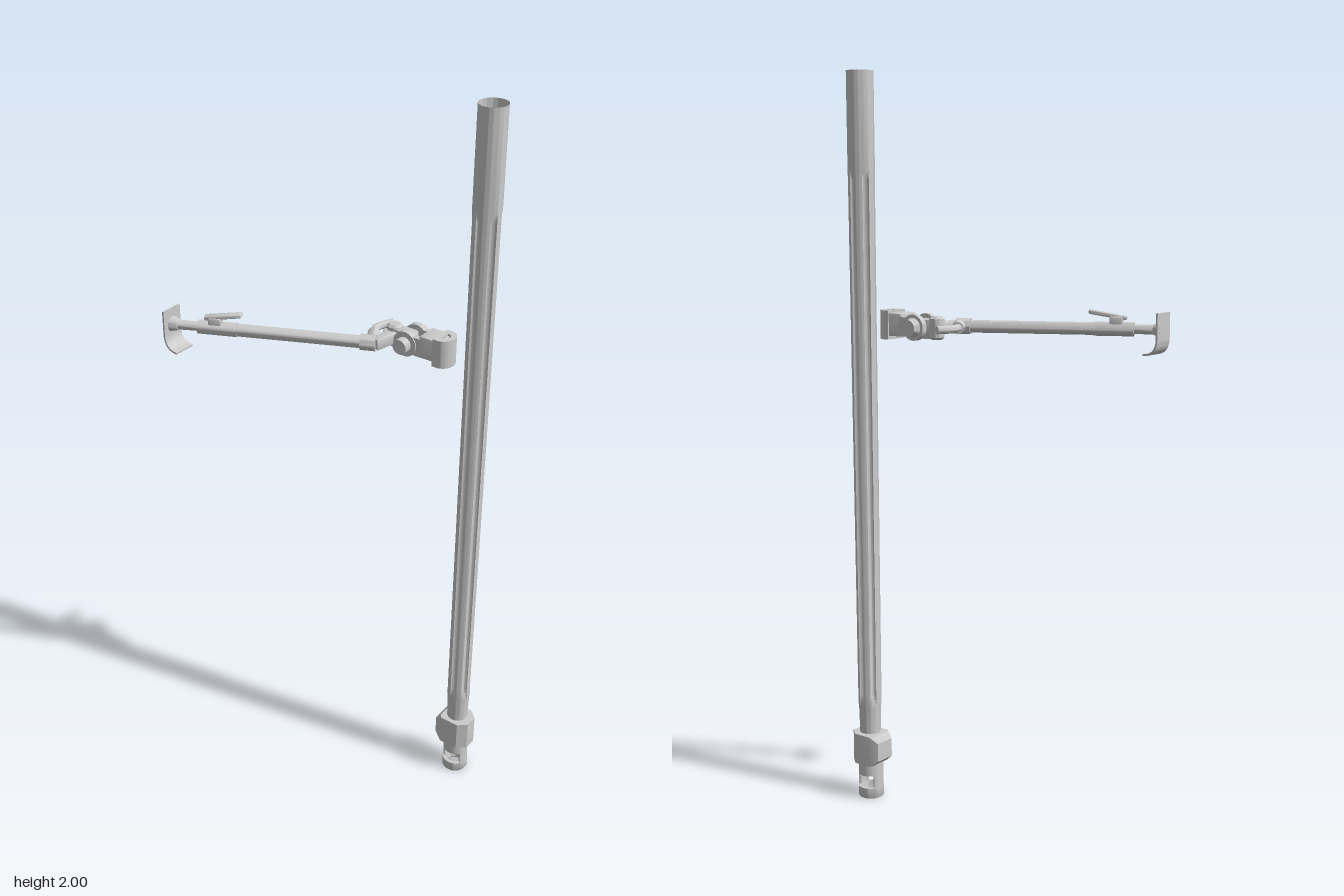
import * as THREE from 'three';
import { toCreasedNormals } from 'three/addons/utils/BufferGeometryUtils.js';
import { RoundedBoxGeometry } from 'three/addons/geometries/RoundedBoxGeometry.js';
import { ConvexGeometry } from 'three/addons/geometries/ConvexGeometry.js';

const V = (x, y, z) => new THREE.Vector3(x, y, z);
const P = (x, y) => new THREE.Vector2(x, y);
const PX = 0.139, PZ = 0.352, Y = 1.343; // pole axis and arm height

export function createModel() {
  const root = new THREE.Group();
  const grey = new THREE.MeshStandardMaterial({ color: 0xcccccc, side: THREE.DoubleSide });

  const add = (name, geo, x = 0, y = 0, z = 0, parent = root) => {
    const m = new THREE.Mesh(toCreasedNormals(geo, 0.6), grey);
    m.name = name;
    m.position.set(x, y, z);
    parent.add(m);
    return m;
  };
  const lathe = (pts, seg = 32) => new THREE.LatheGeometry(pts.map(p => P(...p)), seg);
  // cylinder between two points
  const rod = (name, a, b, ra, rb = ra, seg = 24) => {
    const d = b.clone().sub(a), c = a.clone().add(b).multiplyScalar(0.5);
    const m = add(name, new THREE.CylinderGeometry(rb, ra, d.length(), seg), c.x, c.y, c.z);
    m.quaternion.setFromUnitVectors(V(0, 1, 0), d.normalize());
    return m;
  };
  // shape drawn in plan (x, z), extruded upwards from y0 to y1
  const slab = (name, shape, y0, y1, bevel = 0) => {
    const g = new THREE.ExtrudeGeometry(shape, {
      depth: y1 - y0 - 2 * bevel, bevelEnabled: bevel > 0, bevelSize: bevel,
      bevelOffset: -bevel, bevelThickness: bevel, bevelSegments: 2, curveSegments: 20
    });
    g.rotateX(Math.PI / 2);
    return add(name, g, 0, y1 - bevel, 0);
  };

  // Pole: open thin tube, with six grooves that fade out at both ends
  const tube = lathe([[0.029, 0.19], [0.031, 0.265], [0.0325, 0.275], [0.0325, 0.3],
    [0.0355, 1.72], [0.036, 1.745], [0.036, 2]], 144);
  const pos = tube.attributes.position;
  for (let i = 0; i < pos.count; i++) {
    const x = pos.getX(i), y = pos.getY(i), z = pos.getZ(i);
    if (y < 0.29 || y > 1.73) continue;
    const wave = Math.max(0, Math.cos(6 * Math.atan2(x, z) + Math.PI));
    const k = 1 - 0.24 * Math.sqrt(wave);
    pos.setXYZ(i, x * k, y, z * k);
  }
  add('pole', tube, PX, 0, PZ);
  add('poleFloor', new THREE.CylinderGeometry(0.03, 0.03, 0.004, 32), PX, 0.268, PZ);

  // Chamfered lock block near the foot
  const block = [];
  for (const [y, back, w] of [[0.1, -0.032, 1], [0.118, -0.053, 1], [0.17, -0.053, 1], [0.187, -0.038, 1]])
    for (const s of [-1, 1])
      block.push(V(s * 0.029 * w, y, back), V(s * 0.039, y, Math.max(back, -0.03)),
        V(s * 0.039, y, 0.024), V(s * 0.018, y, 0.048));
  add('lockBlock', new ConvexGeometry(block), PX, 0, PZ);
  add('lockButton', new RoundedBoxGeometry(0.03, 0.07, 0.006, 2, 0.002), PX, 0.143, PZ + 0.045);

  // Hollow foot with a window on either side
  add('footSleeve', lathe([[0.026, 0.066], [0.035, 0.066], [0.035, 0.11], [0.026, 0.11], [0.026, 0.066]]), PX, 0, PZ);
  add('footRing', lathe([[0.022, 0.004], [0.024, 0], [0.034, 0], [0.036, 0.004], [0.036, 0.03],
    [0.026, 0.03], [0.022, 0.004]]), PX, 0, PZ);
  for (const a of [0, Math.PI]) {
    const web = new THREE.Shape();
    web.absarc(0, 0, 0.035, a - 0.6, a + 0.6, false);
    web.absarc(0, 0, 0.028, a + 0.6, a - 0.6, true);
    const m = slab('footWeb', web, 0.028, 0.068);
    m.rotation.y = Math.PI / 2;
    m.position.x = PX;
    m.position.z = PZ;
  }

  // Clamp jaw: body plus a rounded lip with a half-round bore
  const jaw = add('jawBody', new RoundedBoxGeometry(0.062, 0.062, 0.062, 2, 0.004), PX, Y + 0.004, 0.225);
  jaw.scale.y = 0.98;
  const lip = new THREE.Shape();
  lip.moveTo(PX + 0.034, 0.236);
  lip.lineTo(PX + 0.034, 0.25);
  lip.absellipse(PX, 0.25, 0.034, 0.03, 0, Math.PI, false);
  lip.lineTo(PX - 0.034, 0.236);
  const bore = new THREE.Path();
  bore.absarc(PX, 0.251, 0.015, 0, Math.PI, false);
  lip.holes.push(bore);
  slab('jawLip', lip, 1.307, 1.383);

  // Fork lugs, cross pin and knobs
  for (const s of [-1, 1]) {
    const lug = add('forkLug', new THREE.CylinderGeometry(0.034, 0.034, 0.016, 32), PX + s * 0.026, Y, 0.152);
    lug.rotation.z = Math.PI / 2;
    add('forkArm', new THREE.BoxGeometry(0.014, 0.05, 0.05), PX + s * 0.024, Y, 0.177);
  }
  rod('crossPin', V(0.09, Y, 0.152), V(0.185, Y, 0.152), 0.012);
  rod('rightKnob', V(0.082, Y, 0.152), V(0.106, Y, 0.152), 0.02);
  rod('leftKnob', V(0.172, Y, 0.152), V(0.185, Y, 0.152), 0.026, 0.021);
  rod('leftKnobCap', V(0.183, Y, 0.152), V(0.192, Y, 0.152), 0.021);

  // Tongue between the lugs with a swivel at its back end
  const tongue = new THREE.Shape();
  tongue.absarc(PX, 0.152, 0.017, 0, Math.PI, false);
  tongue.absarc(PX, 0.099, 0.017, Math.PI, Math.PI * 2, false);
  slab('tongue', tongue, Y - 0.022, Y + 0.022, 0.004);
  add('swivel', lathe([[0, -0.03], [0.014, -0.03], [0.02, -0.024], [0.02, 0.024], [0.014, 0.03], [0, 0.03]]), PX, Y, 0.099);

  // Curved link from the swivel to the elbow
  const link = new THREE.Shape();
  link.moveTo(0.145, 0.085);
  link.lineTo(0.118, 0.077);
  link.quadraticCurveTo(0.1, 0.092, 0.07, 0.08);
  link.lineTo(0.055, 0.104);
  link.lineTo(0.118, 0.118);
  link.lineTo(0.145, 0.11);
  slab('link', link, Y - 0.015, Y + 0.015, 0.003);

  // Telescopic arm, its axis given by a fraction t from elbow to pad
  const A = V(0.066, Y, 0.092), B = V(-0.16, Y, -0.382);
  const on = t => A.clone().lerp(B, t);
  rod('elbow', on(0), on(0.075), 0.021);
  rod('armTube', on(0.05), on(0.74), 0.0165);
  rod('armSleeve', on(0.69), on(0.89), 0.0185);
  rod('armRod', on(0.87), on(0.99), 0.0115, 0.013);
  const yaw = Math.atan2(A.x - B.x, A.z - B.z);

  // Clip lever above the sleeve
  const clip = new THREE.Group();
  clip.name = 'clipLever';
  clip.position.copy(on(0.76));
  clip.rotation.y = yaw;
  root.add(clip);
  const lever = add('leverPlate', new RoundedBoxGeometry(0.022, 0.011, 0.1, 2, 0.004), 0, 0.036, 0, clip);
  lever.rotation.x = -0.16;
  add('leverMount', new RoundedBoxGeometry(0.026, 0.03, 0.035, 2, 0.004), 0, 0.018, -0.022, clip);

  // Bent grip on the elbow
  rod('gripSocket', V(0.062, Y, 0.084), V(0.112, Y, 0.053), 0.018, 0.016);
  const bend = new THREE.CatmullRomCurve3([V(0.098, Y, 0.061), V(0.118, Y, 0.048), V(0.141, Y, 0.042),
    V(0.164, Y, 0.047), V(0.186, Y, 0.058)]);
  add('grip', new THREE.TubeGeometry(bend, 24, 0.0105, 16));
  const tip = bend.getPoint(1);
  rod('gripEnd', tip.clone().add(V(-0.002, 0, -0.001)), tip.clone().add(V(0.002, 0, 0.001)), 0.0105);

  // Pad: upright plate whose lower edge curls forward
  const pad = new THREE.Shape();
  pad.moveTo(-0.4, 1.387);
  pad.lineTo(-0.4, 1.32);
  pad.quadraticCurveTo(-0.399, 1.276, -0.357, 1.276);
  pad.lineTo(-0.357, 1.281);
  pad.quadraticCurveTo(-0.395, 1.282, -0.395, 1.32);
  pad.lineTo(-0.395, 1.387);
  const padGeo = new THREE.ExtrudeGeometry(pad, { depth: 0.062, bevelEnabled: false, curveSegments: 16 });
  padGeo.rotateY(-Math.PI / 2); // shape x becomes z
  add('pad', padGeo, -0.132, 0, 0);
  rod('padBoss', V(-0.162, Y, -0.397), V(-0.158, Y, -0.375), 0.021, 0.014);

  return root;
}
